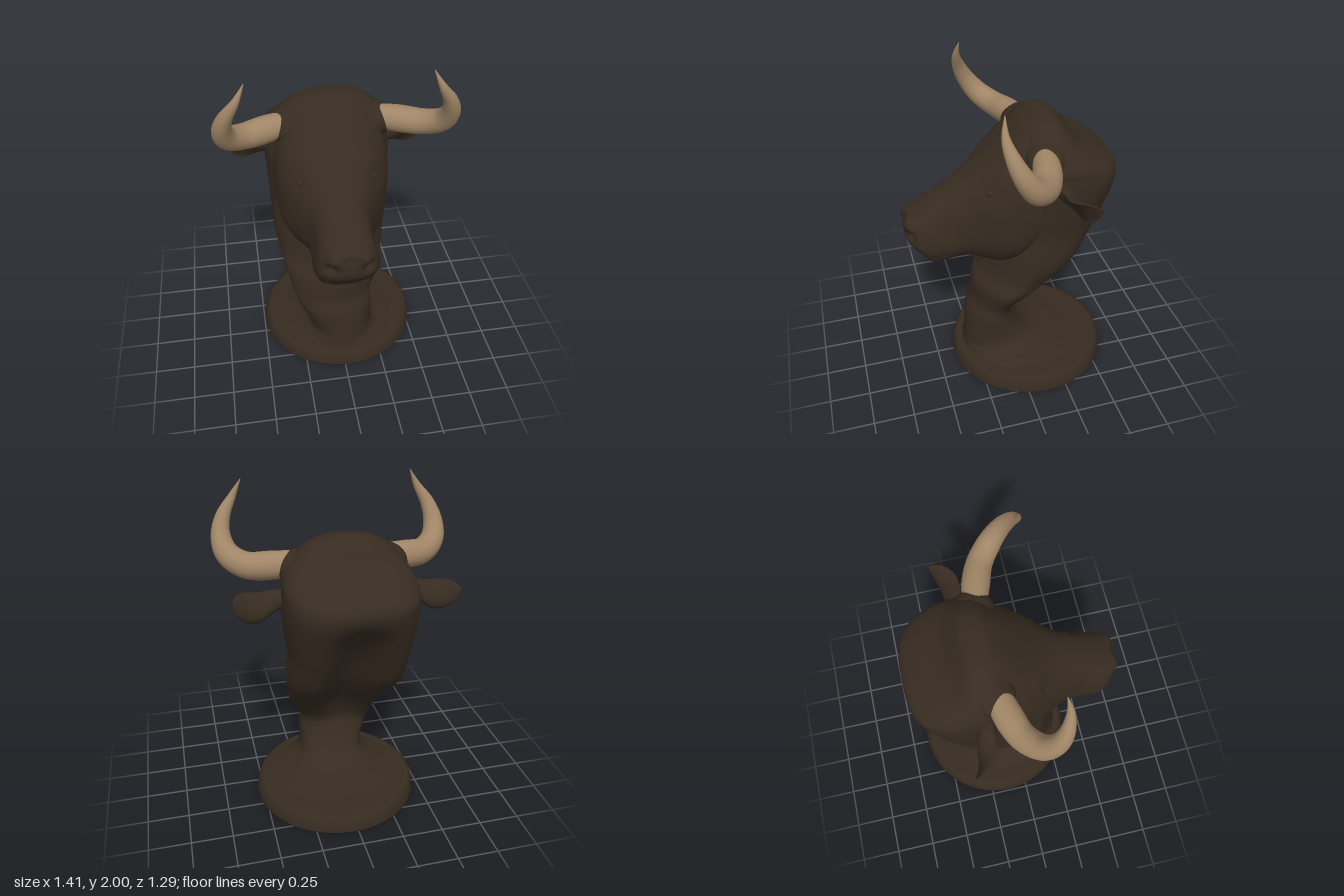
import * as THREE from 'three';

const V = (x, y, z) => new THREE.Vector3(x, y, z);

// smooth sampling of a station table (rows of numbers), t in 0..1
function sample(rows, t) {
  const f = t * (rows.length - 1), i = Math.min(Math.floor(f), rows.length - 2), u = f - i;
  const at = k => rows[Math.max(0, Math.min(rows.length - 1, k))];
  return rows[0].map((_, c) => {
    const a = at(i - 1)[c], b = at(i)[c], d = at(i + 1)[c], e = at(i + 2)[c];
    return b + 0.5 * u * (d - a + u * (2 * a - 5 * b + 4 * d - e + u * (3 * (b - d) + e - a)));
  });
}

// skin closed rings of equal length, cap both ends, faces outwards
function loft(rings) {
  const n = rings[0].length, pts = rings.flat(), idx = [];
  for (let r = 0; r < rings.length - 1; r++) {
    for (let i = 0; i < n; i++) {
      const a = r * n + i, b = r * n + (i + 1) % n;
      idx.push(a, b, a + n, b, b + n, a + n);
    }
  }
  const cap = (ring, start, flip) => {
    const c = pts.length;
    pts.push(ring.reduce((s, p) => s.add(p), V(0, 0, 0)).divideScalar(n));
    for (let i = 0; i < n; i++) {
      const a = start + i, b = start + (i + 1) % n;
      idx.push(c, flip ? b : a, flip ? a : b);
    }
  };
  cap(rings[0], 0, true);
  cap(rings[rings.length - 1], (rings.length - 1) * n, false);
  let vol = 0;
  for (let k = 0; k < idx.length; k += 3) {
    vol += pts[idx[k]].dot(V(0, 0, 0).crossVectors(pts[idx[k + 1]], pts[idx[k + 2]]));
  }
  if (vol < 0) idx.reverse();
  const g = new THREE.BufferGeometry().setFromPoints(pts);
  g.setIndex(idx);
  g.computeVertexNormals();
  return g;
}

// rounded-box outline point on a unit square
const superPoint = (a, e) => [Math.cos(a), Math.sin(a)].map(v => Math.sign(v) * Math.abs(v) ** (2 / e));
const angles = n => Array.from({ length: n }, (_, i) => i / n * Math.PI * 2);

// neck: y, front z, back z, half width, centre x, hollow depth at the back, roundness of the throat
const NECK = [
  [0.08, 0.32, -0.47, 0.41, 0.02, 0, 2], [0.11, 0.315, -0.34, 0.33, 0.02, 0, 2],
  [0.14, 0.31, -0.2, 0.25, 0.01, 0, 2], [0.2, 0.305, -0.09, 0.205, 0.01, 0, 2],
  [0.35, 0.285, 0, 0.23, -0.02, 0, 1.75], [0.45, 0.25, -0.02, 0.25, -0.04, 0.03, 1.65],
  [0.6, 0.235, -0.14, 0.31, -0.02, 0.08, 1.6], [0.7, 0.18, -0.265, 0.33, -0.025, 0.13, 1.6],
  [0.85, 0.14, -0.415, 0.36, -0.025, 0.17, 1.8], [1.05, 0.1, -0.525, 0.362, -0.03, 0.17, 2.1],
  [1.2, 0.1, -0.585, 0.375, -0.025, 0.12, 2.1], [1.35, 0.1, -0.63, 0.387, -0.02, 0.02, 2.1],
  [1.45, 0.05, -0.625, 0.385, -0.02, 0, 2.1], [1.52, 0.02, -0.53, 0.375, -0.015, 0, 2.1],
  [1.6, -0.01, -0.39, 0.335, -0.015, 0, 2.1], [1.68, -0.06, -0.32, 0.255, -0.015, 0, 2.1],
  [1.735, -0.12, -0.27, 0.155, -0.01, 0, 2.1], [1.752, -0.17, -0.22, 0.04, -0.01, 0, 2.1],
];

function neckGeometry() {
  const rings = [];
  for (let k = 0; k <= 100; k++) {
    const [y, zf, zb, w, cx, dent, throat] = sample(NECK, k / 100);
    rings.push(angles(72).map(a => {
      const [sx, sz] = superPoint(a, Math.sin(a) > 0 ? throat : 2.8);
      const hollow = sz < 0 ? dent * Math.exp(-((sx / 0.42) ** 2)) * -sz : 0;
      return V(cx + sx * w, y, (zf + zb) / 2 + sz * (zf - zb) / 2 + hollow);
    }));
  }
  return loft(rings);
}

// head: z, top y, bottom y, half width, narrowing towards the top
const HEAD = [
  [0.645, 1.11, 1.05, 0.06, 0], [0.632, 1.165, 1.0, 0.11, 0.05], [0.59, 1.195, 0.945, 0.155, 0.1],
  [0.54, 1.225, 0.89, 0.18, 0.12], [0.49, 1.255, 0.845, 0.188, 0.14], [0.4, 1.31, 0.85, 0.188, 0.14],
  [0.3, 1.37, 0.86, 0.2, 0.1], [0.2, 1.44, 0.83, 0.25, 0.02], [0.1, 1.53, 0.8, 0.305, 0],
  [0, 1.63, 0.82, 0.34, 0], [-0.1, 1.72, 0.89, 0.35, 0.06], [-0.2, 1.745, 0.98, 0.35, 0.1],
  [-0.32, 1.66, 1.1, 0.32, 0.1], [-0.45, 1.48, 1.2, 0.2, 0],
];

// sculpted bumps (+) and dents (-): x, y, z, radius, amount, mirrored on both sides
const SCULPT = [
  [0.105, 1.075, 0.62, 0.035, -0.04], [0.09, 1.135, 0.62, 0.045, 0.015], [0, 1.13, 0.63, 0.035, -0.015],
  [0.24, 1.37, 0.16, 0.05, -0.02], [0.21, 1.45, 0.11, 0.06, 0.02],
  [0.19, 1.12, 0.42, 0.09, -0.012], [0.3, 1.0, 0.05, 0.12, 0.015],
  [0.12, 0.925, 0.565, 0.025, -0.012], [0.18, 0.93, 0.5, 0.022, -0.014],
  [0.19, 0.935, 0.44, 0.022, -0.014], [0.04, 0.925, 0.575, 0.025, -0.008],
];

function headGeometry() {
  const cx = -0.02, rings = [], core = V(cx, 1.1, 0.3);
  for (let k = 0; k <= 110; k++) {
    const [z, yt, yb, w, taper] = sample(HEAD, k / 110);
    rings.push(angles(80).map(a => {
      const [sx, sy] = superPoint(a, 2.5);
      const p = V(cx + sx * w * (1 - taper * sy), (yt + yb) / 2 + sy * (yt - yb) / 2, z);
      const out = p.clone().sub(core).normalize();
      let move = 0;
      for (const [x, y, dz, r, amount] of SCULPT) {
        const d2 = (Math.abs(p.x - cx) - x) ** 2 + (p.y - y) ** 2 + (z - dz) ** 2;
        move += amount * Math.exp(-d2 / (r * r));
      }
      return p.addScaledVector(out, move);
    }));
  }
  return loft(rings);
}

// horn: x, y, z, radius
const HORN = [
  [0.27, 1.585, -0.14, 0.07], [0.4, 1.567, -0.11, 0.082], [0.53, 1.563, -0.06, 0.077],
  [0.62, 1.61, 0.02, 0.07], [0.645, 1.7, 0.09, 0.057], [0.62, 1.8, 0.14, 0.042],
  [0.56, 1.9, 0.167, 0.023], [0.507, 2.0, 0.157, 0.002],
];

function hornGeometry(s) {
  const rings = [], N = 48, at = t => { const [x, y, z] = sample(HORN, t); return V(x * s, y, z); };
  for (let k = 0; k <= N; k++) {
    const t = k / N, r = sample(HORN, t)[3], c = at(t);
    const dir = at(Math.min(1, t + 0.01)).sub(at(Math.max(0, t - 0.01))).normalize();
    // the horn curls forward, so this reference never lines up with its direction
    const u = V(-0.5 * s, 0.3, -0.8).cross(dir).normalize(), v = dir.clone().cross(u);
    rings.push(angles(24).map(a =>
      c.clone().addScaledVector(u, r * Math.cos(a)).addScaledVector(v, r * Math.sin(a))));
  }
  return loft(rings);
}

// ear: x, y, z, half height, depth, cupping
const EAR = [
  [0.33, 1.41, -0.22, 0.05, 0.05, -1], [0.42, 1.4, -0.23, 0.065, 0.055, -0.6],
  [0.5, 1.375, -0.24, 0.085, 0.06, 0.15], [0.57, 1.383, -0.255, 0.088, 0.05, 0.3],
  [0.63, 1.415, -0.3, 0.062, 0.03, 0.3], [0.657, 1.44, -0.345, 0.012, 0.008, 0],
];

function earGeometry(s) {
  const rings = [];
  for (let k = 0; k <= 36; k++) {
    const [x, y, z, h, d, cup] = sample(EAR, k / 36);
    // the right ear hangs a little lower
    const droop = s < 0 ? (x - 0.33) * 0.1 : 0;
    // the upper rim leans forward, so the cup opens outwards and down
    rings.push(angles(28).map(a => {
      const rim = h * Math.cos(a), depth = Math.sin(a) * d * (Math.sin(a) > 0 ? -cup : 1);
      return V(s * (x + depth * 0.3) - 0.015, y + rim * 0.86 - depth * 0.45 - droop, z + rim * 0.5 + depth * 0.82);
    }));
  }
  return loft(rings);
}

export function createModel() {
  const hide = new THREE.MeshStandardMaterial({ name: 'dark brown', color: 0x362b20 });
  const hornTan = new THREE.MeshStandardMaterial({ name: 'horn tan', color: 0xa08566 });
  const model = new THREE.Group();
  model.name = 'bullBust';
  const add = (name, geometry, material) => {
    const m = new THREE.Mesh(geometry, material);
    m.name = name;
    model.add(m);
    return m;
  };

  // round plinth
  const profile = [[0, 0], [0.515, 0], [0.515, 0.004], [0.51, 0.04], [0.498, 0.075], [0.48, 0.09], [0.45, 0.094], [0, 0.1]];
  add('plinth', new THREE.LatheGeometry(profile.map(p => new THREE.Vector2(...p)), 72), hide)
    .position.set(0.025, 0, -0.125);

  add('neck', neckGeometry(), hide);
  add('head', headGeometry(), hide);

  for (const s of [1, -1]) {
    const side = s > 0 ? 'left' : 'right';
    add(side + 'Horn', hornGeometry(s), hornTan);
    add(side + 'Ear', earGeometry(s), hide);
    // hide swelling over the root of the horn
    const root = add(side + 'HornRoot', new THREE.SphereGeometry(1, 32, 20), hide);
    root.position.set(s * 0.25 - 0.015, 1.555, -0.16);
    root.scale.set(0.13, 0.11, 0.125);
    // eyeball set into its socket
    const eye = add(side + 'Eye', new THREE.SphereGeometry(0.03, 20, 14), hide);
    eye.position.set(s * 0.213 - 0.02, 1.355, 0.145);
    eye.scale.set(0.75, 0.75, 1.15);
  }
  return model;
}
